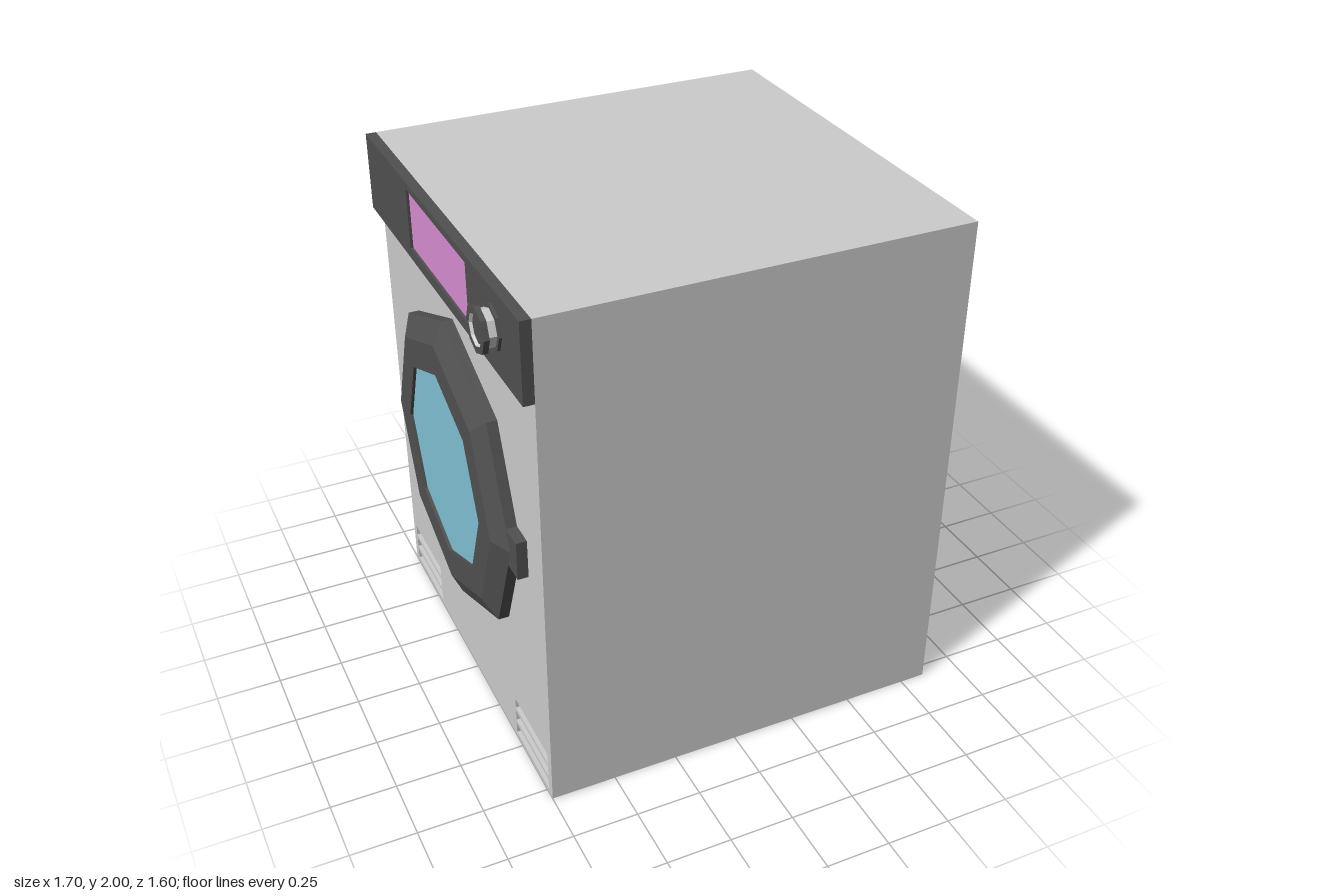
import * as THREE from 'three';

const mat = (color) => new THREE.MeshStandardMaterial({ color, flatShading: true });
const BODY = mat(0xcccccc);
const DARK = mat(0x505050);
const PURPLE = mat(0xd68ccf);
const TEAL = mat(0x80c0d4);

function add(parent, name, geometry, material, x = 0, y = 0, z = 0) {
  const mesh = new THREE.Mesh(geometry, material);
  mesh.name = name;
  mesh.position.set(x, y, z);
  parent.add(mesh);
  return mesh;
}

// Rectangle outline, [x0, x1, y0, y1]
function rect(Type, [x0, x1, y0, y1]) {
  const p = new Type();
  p.moveTo(x0, y0).lineTo(x1, y0).lineTo(x1, y1).lineTo(x0, y1).closePath();
  return p;
}

// Plate with rectangular openings
function plate(outer, holes, depth) {
  const shape = rect(THREE.Shape, outer);
  for (const h of holes) shape.holes.push(rect(THREE.Path, h));
  return new THREE.ExtrudeGeometry(shape, { depth, bevelEnabled: false });
}

// Flat sheet that fills an opening
const sheet = (r) => new THREE.ShapeGeometry(rect(THREE.Shape, r));

// Octagonal ring turned about the local z axis; profile points are [radius, z]
function octagon(profile) {
  const points = profile.map(([r, z]) => new THREE.Vector2(r, z));
  return new THREE.LatheGeometry(points, 8).rotateX(Math.PI / 2);
}

export function createModel() {
  const model = new THREE.Group();
  model.name = 'washingMachine';

  // Cabinet behind the door-side plate
  add(model, 'cabinet', new THREE.BoxGeometry(1.58, 2, 1.6), BODY, 0.06, 1, 0);

  // Door side faces -x: local x is world z, local z is world -x
  const face = new THREE.Group();
  face.name = 'doorSide';
  face.rotation.y = -Math.PI / 2;
  model.add(face);

  // Three vent slots in each bottom corner
  const vents = [];
  for (const side of [-1, 1]) {
    for (let i = 0; i < 3; i++) {
      const y = 0.02 + i * 0.062;
      const [a, b] = side < 0 ? [-0.765, -0.44] : [0.44, 0.765];
      vents.push([a, b, y, y + 0.045]);
    }
  }
  add(face, 'doorSidePlate', plate([-0.8, 0.8, 0, 2], vents, 0.02), BODY, 0, 0, 0.73);
  for (const v of vents) add(face, 'ventBack', sheet(v), DARK, 0, 0, 0.732);

  // Control panel with a recessed display
  const display = [-0.315, 0.31, 1.742, 1.972];
  add(face, 'controlPanel', plate([-0.8, 0.8, 1.7, 2], [display], 0.04), DARK, 0, 0, 0.75);
  add(face, 'display', sheet(display), PURPLE, 0, 0, 0.78);

  // Knob: base flange, pale grip, cap with a sunken centre
  const knob = new THREE.Group();
  knob.name = 'knob';
  knob.position.set(0.557, 1.862, 0.79);
  face.add(knob);
  add(knob, 'knobBase', octagon([[0.083, 0], [0.083, 0.01], [0.066, 0.01]]), DARK);
  add(knob, 'knobGrip', octagon([[0.068, 0.008], [0.068, 0.042]]), BODY);
  add(knob, 'knobCap', octagon([[0.066, 0.04], [0.083, 0.04], [0.083, 0.06], [0.058, 0.06]]), DARK);
  add(knob, 'knobRim', octagon([[0.058, 0.06], [0.052, 0.05]]), BODY);
  add(knob, 'knobCentre', new THREE.CircleGeometry(0.053, 8), DARK, 0, 0, 0.05);

  // Octagonal door with chamfered frame, glass and handle
  const door = new THREE.Group();
  door.name = 'door';
  door.position.set(0, 1, 0.75);
  face.add(door);
  const frame = [[0.6, 0], [0.6, 0.04], [0.51, 0.08], [0.39, 0.08], [0.39, 0.05]];
  add(door, 'doorFrame', octagon(frame), DARK);
  add(door, 'doorGlass', new THREE.CircleGeometry(0.392, 8), TEAL, 0, 0, 0.068);
  add(door, 'doorHandle', new THREE.BoxGeometry(0.15, 0.152, 0.04), DARK, 0.585, 0.003, 0.02);

  return model;
}
